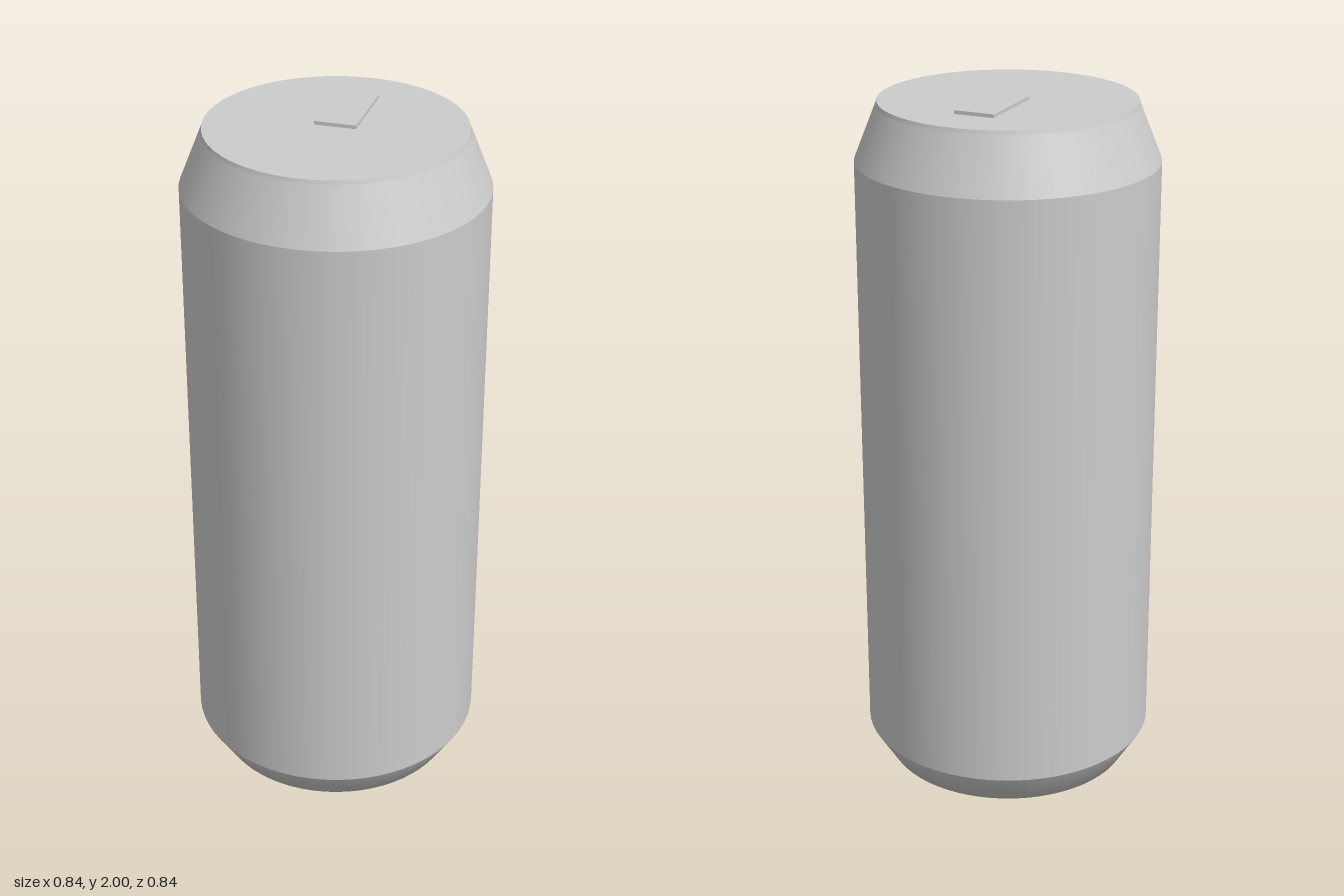
import * as THREE from 'three';

const SEGMENTS = 64;

export function createModel() {
  const group = new THREE.Group();
  const aluminium = new THREE.MeshStandardMaterial({ color: 0xcccccc });
  aluminium.name = 'aluminium';

  const add = (name, geometry) => {
    const mesh = new THREE.Mesh(geometry, aluminium);
    mesh.name = name;
    group.add(mesh);
    return mesh;
  };

  // Each band is its own lathe, so the edges between bands stay crisp
  const band = (name, ...profile) =>
    add(name, new THREE.LatheGeometry(profile.map(([r, y]) => new THREE.Vector2(r, y)), SEGMENTS));

  // Base and its bevel share softened normals
  band('base', [0, 0], [0.36, 0], [0.422, 0.1]);
  band('body', [0.422, 0.1], [0.422, 1.825]);
  band('shoulder', [0.422, 1.825], [0.36, 1.98]);
  band('rim', [0.36, 1.98], [0.357, 1.99]);
  band('lid', [0.357, 1.99], [0, 1.99]);

  // Opening tab, lying on the lid towards the back
  add('pullTab', new THREE.BoxGeometry(0.116, 0.012, 0.23)).position.set(0, 1.994, -0.105);

  return group;
}
